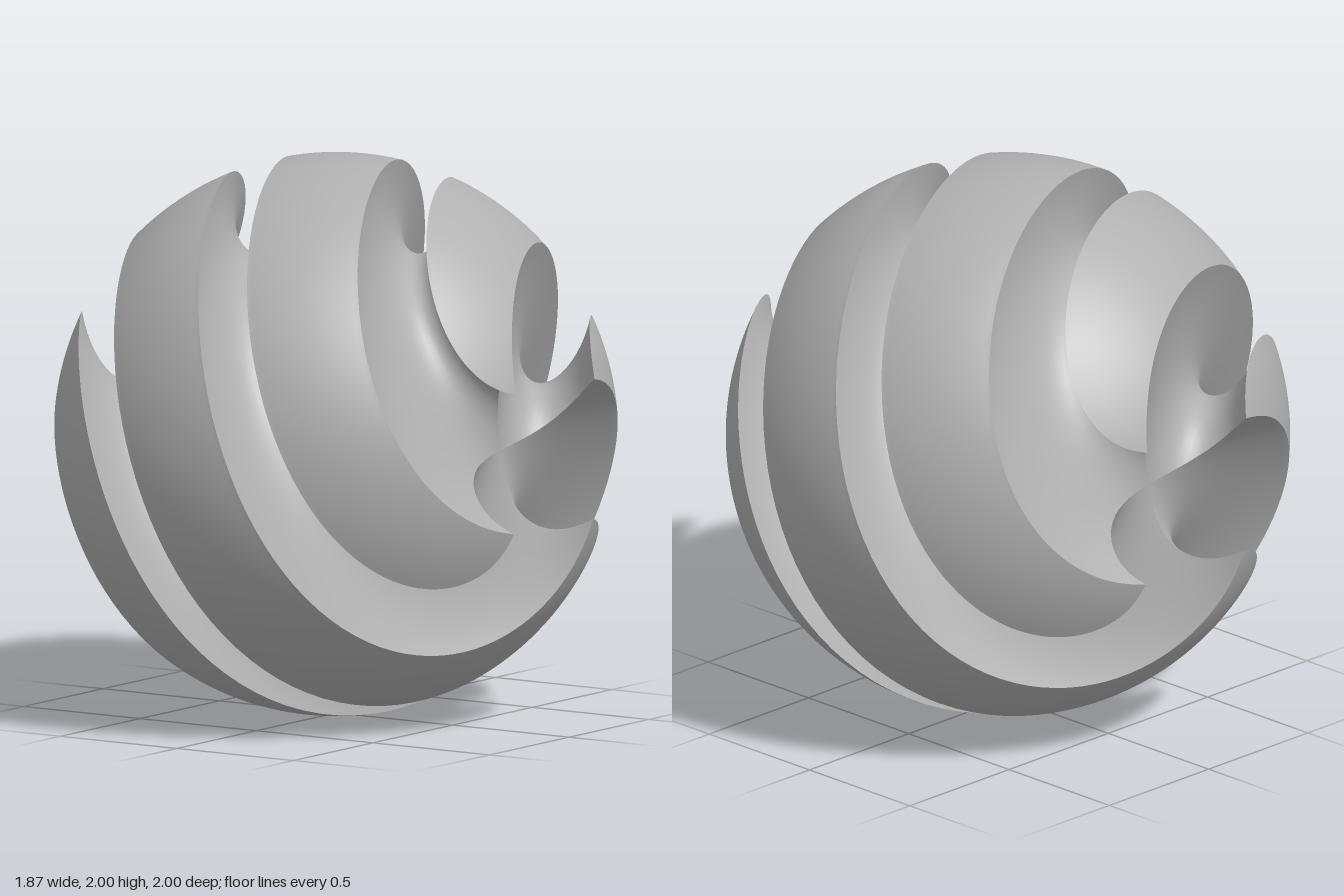
import * as THREE from 'three';

const RING = 0.95;   // radius of the ring each groove follows
const BORE = 0.25;   // radius of the round groove section
const TWIST = 2.5;   // radians of twist per unit along x
const STEPS = 110;   // divisions from pole to pole

// section angle at which a groove breaks through the unit sphere, and the rim offset there
const RIM = Math.acos((RING * RING + BORE * BORE - 1) / (2 * RING * BORE));
const EDGE = BORE * Math.sin(RIM);
const TIP = Math.sqrt(1 - 2 * EDGE * EDGE);

// grid surface from a rule (u, v) -> [x, a, b], twisted around the x axis
function twistedPatch(rule, vSteps, turn) {
  const positions = [], index = [];
  for (let j = 0; j <= vSteps; j++) {
    for (let i = 0; i <= STEPS; i++) {
      const [x, a, b] = rule(i / STEPS, j / vSteps);
      const t = TWIST * x + Math.PI / 4 + turn;
      const c = Math.cos(t), s = Math.sin(t);
      positions.push(x, a * c - b * s, a * s + b * c);
      if (i < STEPS && j < vSteps) {
        const p = j * (STEPS + 1) + i, q = p + STEPS + 1;
        index.push(p, p + 1, q, p + 1, q + 1, q);
      }
    }
  }
  const geometry = new THREE.BufferGeometry();
  geometry.setAttribute('position', new THREE.Float32BufferAttribute(positions, 3));
  geometry.setIndex(index);
  geometry.computeVertexNormals();
  return geometry;
}

// round-bottomed channel, ending where it meets the neighbouring channel at the poles
function grooveRule(u, v) {
  const s = (2 * v - 1) * RIM;
  const a = BORE * Math.sin(s), r = RING - BORE * Math.cos(s);
  const x = -Math.sqrt(r * r - a * a) * Math.cos(Math.PI * u);
  return [x, a, Math.sqrt(Math.max(0, r * r - x * x))];
}

// spherical outer face between two channels, pointed at both ends
function ridgeRule(u, v) {
  const f = (1 - v) * Math.PI / 2;
  const x = -TIP * Math.cos(Math.PI * u);
  const h = EDGE * (Math.cos(f) + Math.sin(f));
  const q = -h + Math.sqrt(h * h + Math.max(0, 1 - 2 * EDGE * EDGE - x * x));
  return [x, EDGE + q * Math.cos(f), EDGE + q * Math.sin(f)];
}

export function createModel() {
  const model = new THREE.Group();
  model.name = 'spiralGroovedBall';
  const grey = new THREE.MeshStandardMaterial({ color: 0xb0b0b0 });
  grey.name = 'grey';
  grey.side = THREE.DoubleSide;

  // four ridges and four grooves, evenly turned around the axis
  for (let n = 0; n < 4; n++) {
    const turn = n * Math.PI / 2;
    const ridge = new THREE.Mesh(twistedPatch(ridgeRule, 24, turn), grey);
    ridge.name = 'ridge' + (n + 1);
    const groove = new THREE.Mesh(twistedPatch(grooveRule, 32, turn), grey);
    groove.name = 'groove' + (n + 1);
    model.add(ridge, groove);
  }
  model.children.forEach((part) => { part.position.y = 1; });
  return model;
}
